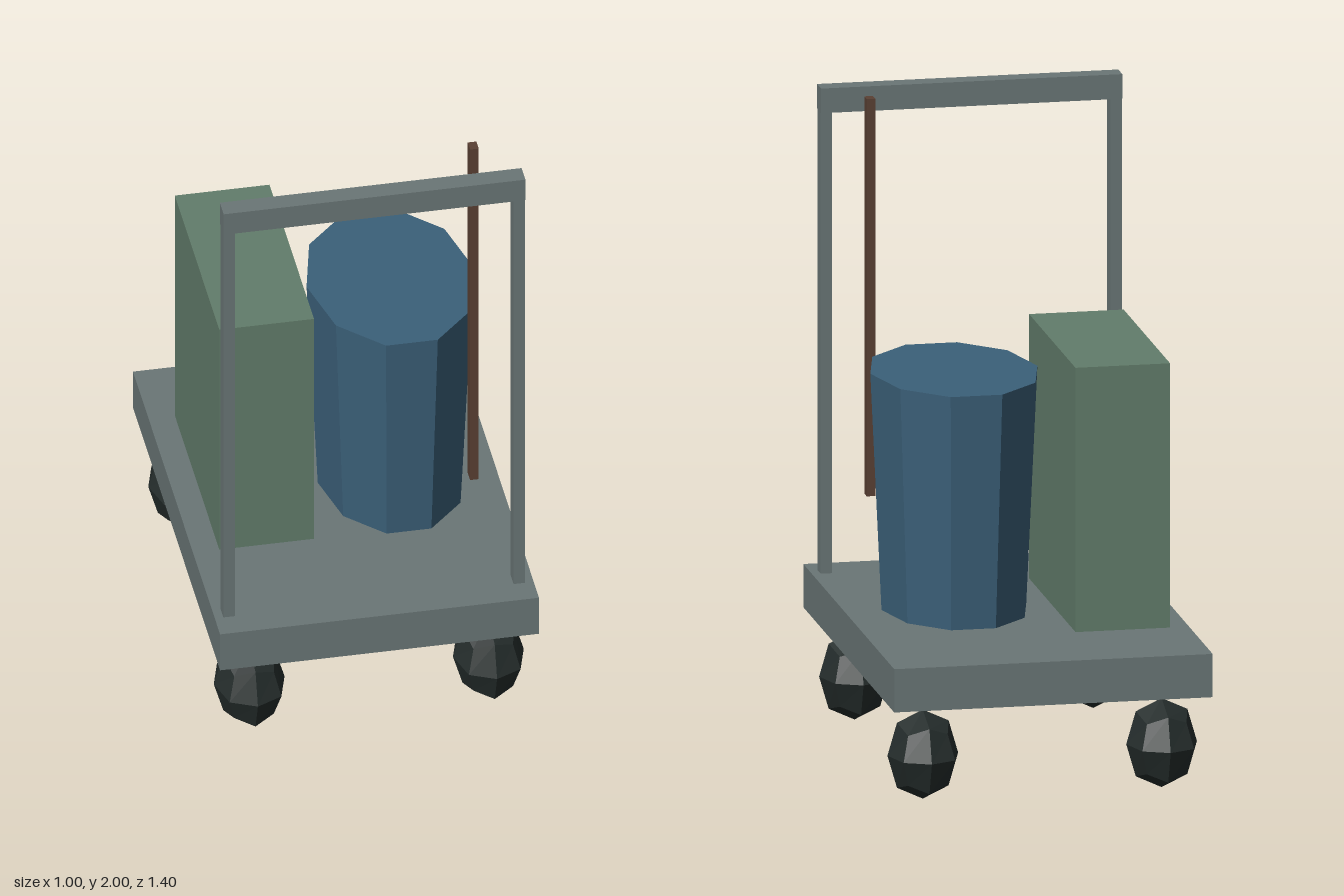
import * as THREE from 'three';

const material = (color) => new THREE.MeshStandardMaterial({ color, flatShading: true });

export function createModel() {
  const model = new THREE.Group();
  model.name = 'janitorCart';
  const metal = material(0x6a7676);
  const rubber = material(0x252d2c);
  const plastic = material(0x3b6079);
  const green = material(0x627d6b);
  const wood = material(0x5a4033);

  const add = (name, geometry, mat, x, y, z) => {
    const mesh = new THREE.Mesh(geometry, mat);
    mesh.name = name;
    mesh.position.set(x, y, z);
    model.add(mesh);
    return mesh;
  };
  // Box given by its lower and upper corners
  const box = (name, mat, [x0, y0, z0], [x1, y1, z1]) =>
    add(name, new THREE.BoxGeometry(x1 - x0, y1 - y0, z1 - z0), mat,
      (x0 + x1) / 2, (y0 + y1) / 2, (z0 + z1) / 2);

  // Platform and push handle
  box('platform', metal, [-0.5, 0.325, -0.7], [0.5, 0.462, 0.7]);
  for (const side of [-1, 1]) {
    add(side > 0 ? 'leftHandlePost' : 'rightHandlePost',
      new THREE.BoxGeometry(0.036, 1.465, 0.05), metal, side * 0.455, 1.1925, 0.59);
  }
  box('handleBar', metal, [-0.473, 1.922, 0.558], [0.473, 2, 0.62]);

  // Crate, tapered oval bin and loose broom stick
  box('crate', green, [-0.423, 0.483, -0.422], [-0.126, 1.32, 0.293]);
  const bin = new THREE.CylinderGeometry(0.367, 0.318, 0.75, 10);
  bin.rotateY(Math.PI / 2);
  bin.scale(0.715, 1, 1);
  add('bin', bin, plastic, 0.17, 0.853, 0);
  box('broomStick', wood, [0.336, 0.742, 0.395], [0.363, 2, 0.433]);

  // Wheels: a once-subdivided cube pulled round, narrowed across the axle
  const wheel = new THREE.BoxGeometry(2, 2, 2, 2, 2, 2);
  const pos = wheel.attributes.position;
  const pull = [1, 1, 0.73, 0.56];
  const v = new THREE.Vector3();
  for (let i = 0; i < pos.count; i++) {
    v.fromBufferAttribute(pos, i);
    const away = v.toArray().filter((c) => Math.abs(c) > 0.5).length;
    v.multiplyScalar(pull[away]);
    pos.setXYZ(i, v.x * 0.111, v.y * 0.141, v.z * 0.141);
  }
  wheel.computeVertexNormals();
  for (const x of [-1, 1]) {
    for (const z of [-1, 1]) {
      add(`${z > 0 ? 'front' : 'back'}${x > 0 ? 'Left' : 'Right'}Wheel`, wheel, rubber,
        x * 0.375, 0.146, z * 0.526);
    }
  }
  return model;
}
